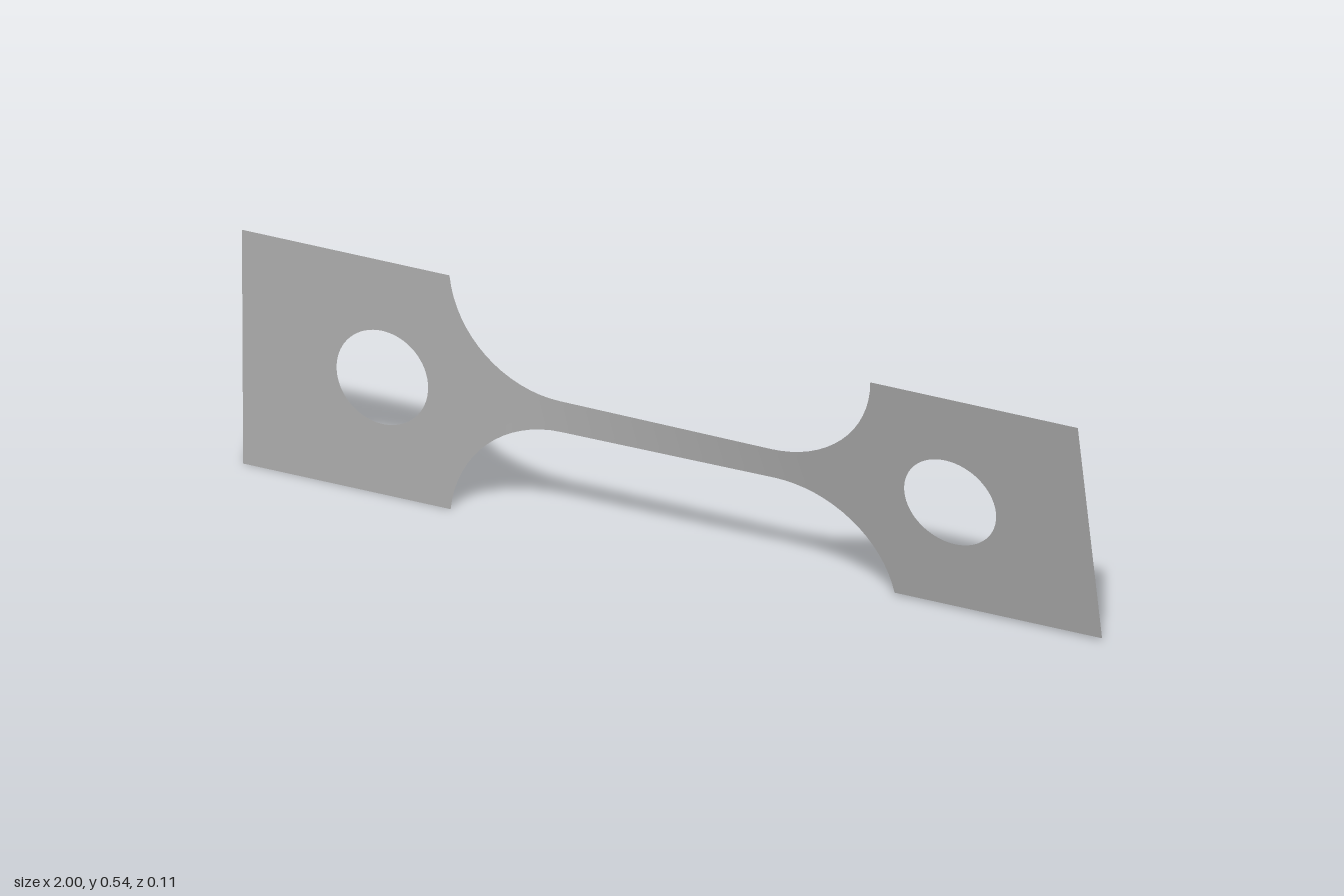
import * as THREE from 'three';

const MID_Y = 0.271;      // height of the long axis
const HALF_TAB = 0.271;   // half height of the end tabs
const HALF_NECK = 0.036;  // half height of the narrow neck
const NECK_END = 0.25;    // where the fillets begin
const FILLET = 0.2615;    // fillet radius
const TAB_START = 0.51;
const SWEEP = Math.asin((TAB_START - NECK_END) / FILLET);

// Twist about the long axis, growing along the neck
function twistAt(x) {
  const t = THREE.MathUtils.clamp((x + 0.35) / 0.7, 0, 1);
  return THREE.MathUtils.lerp(0.01, 0.204, t);
}

function twist(geometry) {
  const p = geometry.attributes.position;
  for (let i = 0; i < p.count; i++) {
    const x = p.getX(i), y = p.getY(i), a = twistAt(x);
    p.setXYZ(i, x, MID_Y + y * Math.cos(a), y * Math.sin(a));
  }
  geometry.computeVertexNormals();
  return geometry;
}

// Narrow neck with a circular fillet flaring out at each end
function neckGeometry() {
  const g = new THREE.PlaneGeometry(2, 2, 64, 6);
  const p = g.attributes.position;
  for (let i = 0; i < p.count; i++) {
    const u = p.getX(i), s = Math.abs(u);
    let x = NECK_END * s * 2, h = HALF_NECK;
    if (s > 0.5) {
      const angle = (s - 0.5) * 2 * SWEEP;
      x = NECK_END + FILLET * Math.sin(angle);
      h = HALF_NECK + FILLET * (1 - Math.cos(angle));
    }
    p.setXY(i, Math.sign(u) * x, p.getY(i) * h);
  }
  return twist(g);
}

// Square end tab with a round pin hole
function tabGeometry(side) {
  const a = side > 0 ? TAB_START : -1;
  const b = side > 0 ? 1 : -TAB_START;
  const shape = new THREE.Shape([
    new THREE.Vector2(a, -HALF_TAB), new THREE.Vector2(b, -HALF_TAB),
    new THREE.Vector2(b, HALF_TAB), new THREE.Vector2(a, HALF_TAB),
  ]);
  const hole = new THREE.Path();
  hole.absarc(side * 0.67, 0, 0.108, 0, Math.PI * 2, true);
  shape.holes.push(hole);
  return twist(new THREE.ShapeGeometry(shape, 32));
}

export function createModel() {
  const group = new THREE.Group();
  group.name = 'twistedTestStrip';
  const metal = new THREE.MeshStandardMaterial({ color: 0xb0b0b0, side: THREE.DoubleSide });
  metal.name = 'grey metal';

  const add = (name, geometry) => {
    const mesh = new THREE.Mesh(geometry, metal);
    mesh.name = name;
    group.add(mesh);
  };
  add('neck', neckGeometry());
  add('leftTab', tabGeometry(1));
  add('rightTab', tabGeometry(-1));
  return group;
}
